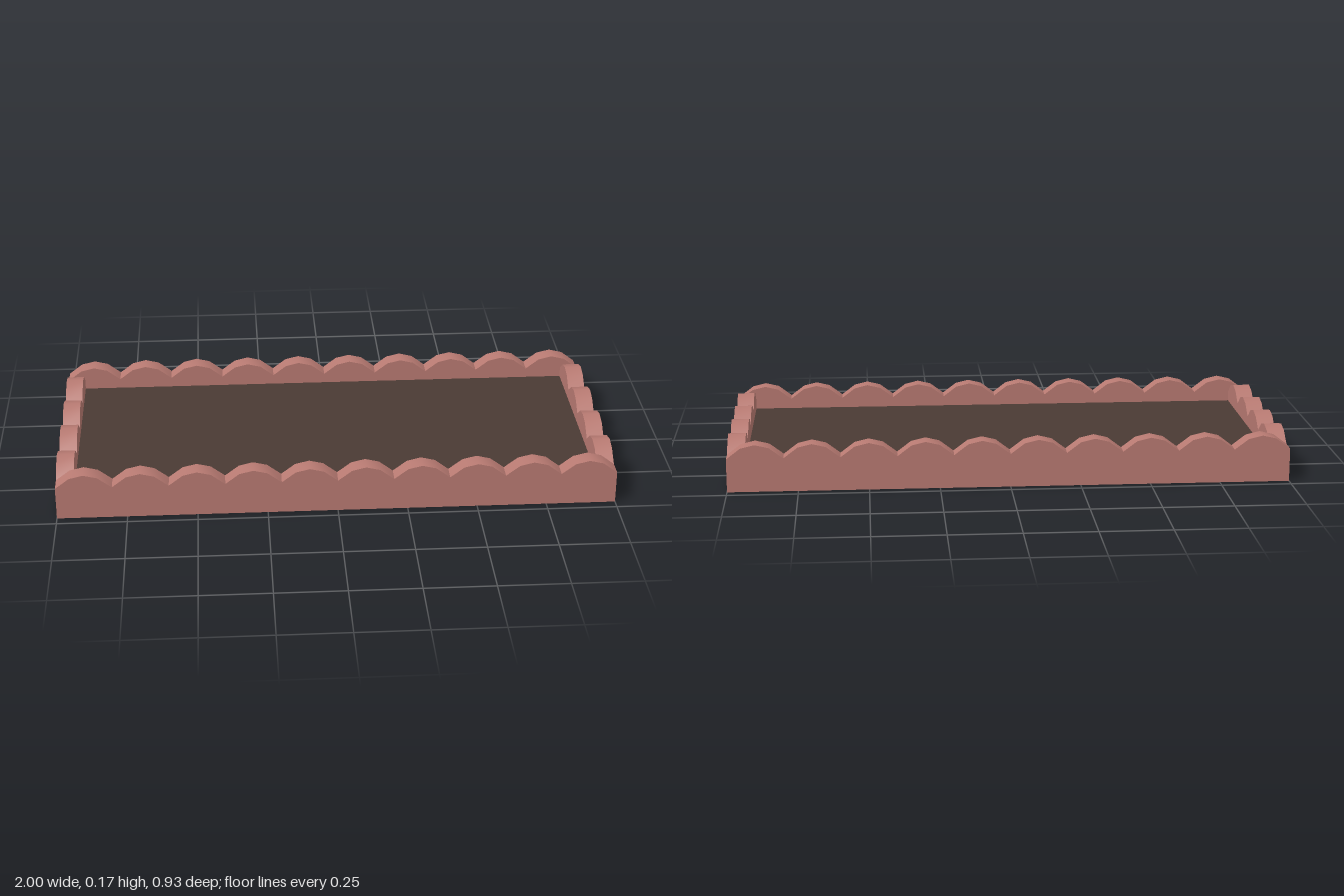
import * as THREE from 'three';
import { toCreasedNormals } from 'three/addons/utils/BufferGeometryUtils.js';

const THICK = 0.063;   // rail thickness
const BAY = 0.2;       // width of one scallop
const INNER_Z = 0.4;   // half depth inside the frame

// Upright board with a row of scallops along its top, centred on the origin
function scallopedRail(bays) {
  const half = bays * BAY / 2;
  const shape = new THREE.Shape();
  shape.moveTo(-half, 0);
  shape.lineTo(half, 0);
  shape.lineTo(half, 0.12);
  for (let i = 0; i < bays; i++) {
    const x = half - i * BAY;
    shape.lineTo(x - 0.05, 0.158);
    shape.lineTo(x - 0.1, 0.17);
    shape.lineTo(x - 0.15, 0.158);
    shape.lineTo(x - BAY, 0.12);
  }
  const geo = new THREE.ExtrudeGeometry(shape, { depth: THICK, bevelEnabled: false });
  geo.translate(0, 0, -THICK / 2);
  return toCreasedNormals(geo, 0.6);
}

export function createModel() {
  const group = new THREE.Group();
  group.name = 'gardenBed';

  const terracotta = new THREE.MeshStandardMaterial({ color: 0xb87a72 });
  terracotta.name = 'terracotta';
  const soil = new THREE.MeshStandardMaterial({ color: 0x4a3a34 });
  soil.name = 'darkSoil';

  // Long rails at front and back, short rails fitted between them
  const longGeo = scallopedRail(10);
  const shortGeo = scallopedRail(4);
  for (const side of [1, -1]) {
    const long = new THREE.Mesh(longGeo, terracotta);
    long.name = side > 0 ? 'frontRail' : 'backRail';
    long.position.z = side * (INNER_Z + THICK / 2);

    const short = new THREE.Mesh(shortGeo, terracotta);
    short.name = side > 0 ? 'leftRail' : 'rightRail';
    short.rotation.y = Math.PI / 2;
    short.position.x = side * (1 - THICK / 2);
    group.add(long, short);
  }

  // Thin soil bed, raised above the open underside
  const bed = new THREE.Mesh(new THREE.BoxGeometry(2 - 2 * THICK, 0.006, 2 * INNER_Z), soil);
  bed.name = 'soilBed';
  bed.position.y = 0.08;
  group.add(bed);

  return group;
}
